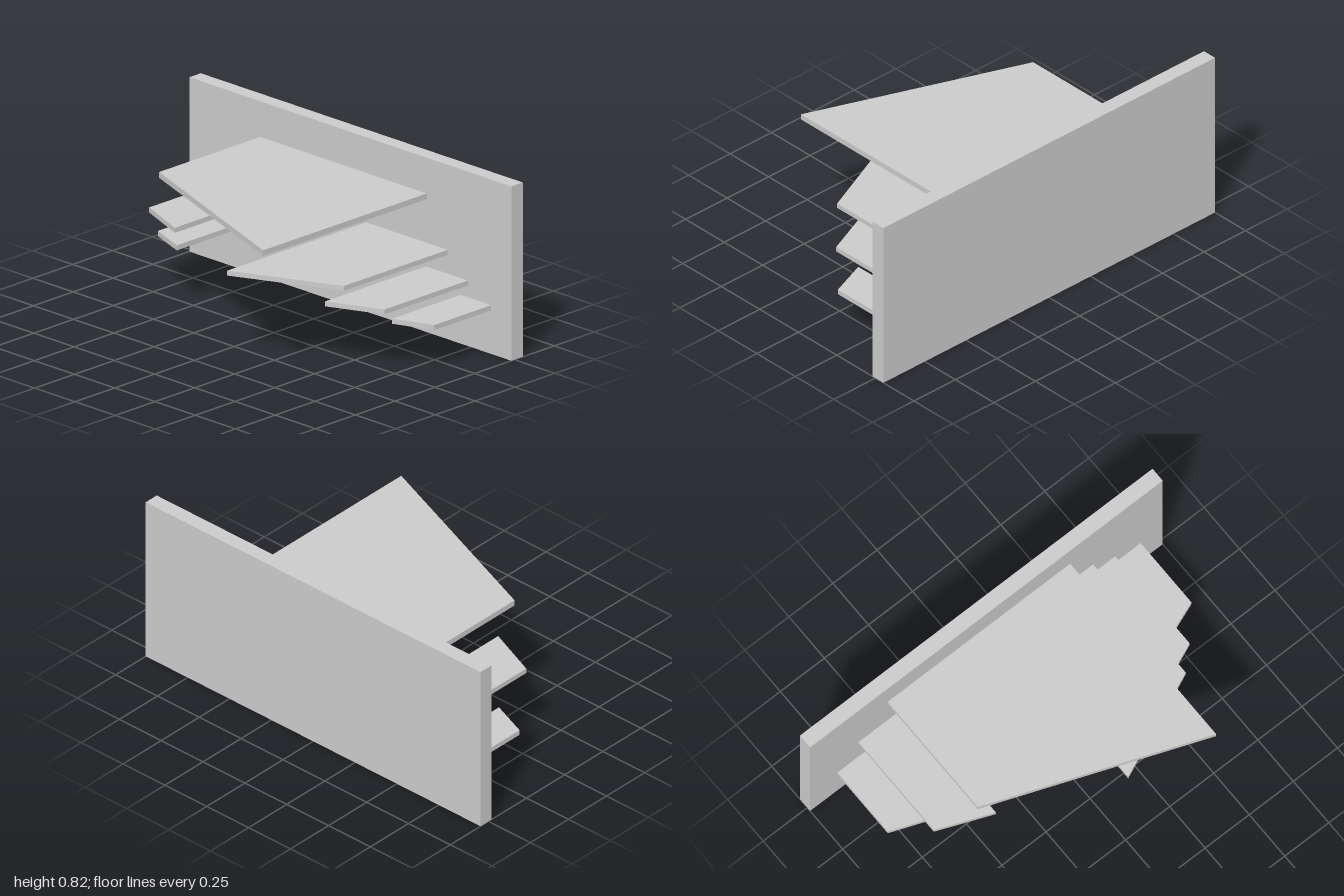
import * as THREE from 'three';

const WALL_FRONT = -0.48;

export function createModel() {
  const group = new THREE.Group();
  const material = new THREE.MeshStandardMaterial({ color: 0xcccccc, flatShading: true });

  const add = (name, geometry) => {
    const mesh = new THREE.Mesh(geometry, material);
    mesh.name = name;
    group.add(mesh);
    return mesh;
  };

  // Board standing upright at the back
  add('backPanel', new THREE.BoxGeometry(2, 0.82, 0.072)).position.set(0, 0.41, -0.516);

  // Shelf with a slanted front edge: z runs from zA at xA to zB at xB
  const addShelf = (name, xA, xB, zA, zB, bottom, top) => {
    const outline = new THREE.Shape([
      new THREE.Vector2(xA, -WALL_FRONT),
      new THREE.Vector2(xA, -zA),
      new THREE.Vector2(xB, -zB),
      new THREE.Vector2(xB, -WALL_FRONT),
    ]);
    const geometry = new THREE.ExtrudeGeometry(outline, { depth: top - bottom, bevelEnabled: false });
    geometry.rotateX(-Math.PI / 2);
    add(name, geometry).position.y = bottom;
  };

  addShelf('topShelf', -0.56, 0.475, 0.155, 0.548, 0.625, 0.652);
  addShelf('leftUpperShelf', -0.725, -0.46, 0.05, 0.157, 0.392, 0.416);
  addShelf('leftLowerShelf', -0.845, -0.655, -0.125, -0.052, 0.205, 0.229);
  addShelf('rightUpperShelf', 0.1, 0.605, 0.395, 0.173, 0.397, 0.42);
  addShelf('rightMiddleShelf', 0.47, 0.73, 0.155, 0.045, 0.285, 0.308);
  addShelf('rightLowerShelf', 0.685, 0.875, -0.05, -0.122, 0.205, 0.229);

  // Thin plate under the top shelf
  add('undersidePlate', new THREE.BoxGeometry(0.5, 0.005, 0.31)).position.set(-0.18, 0.6225, -0.053);

  return group;
}
